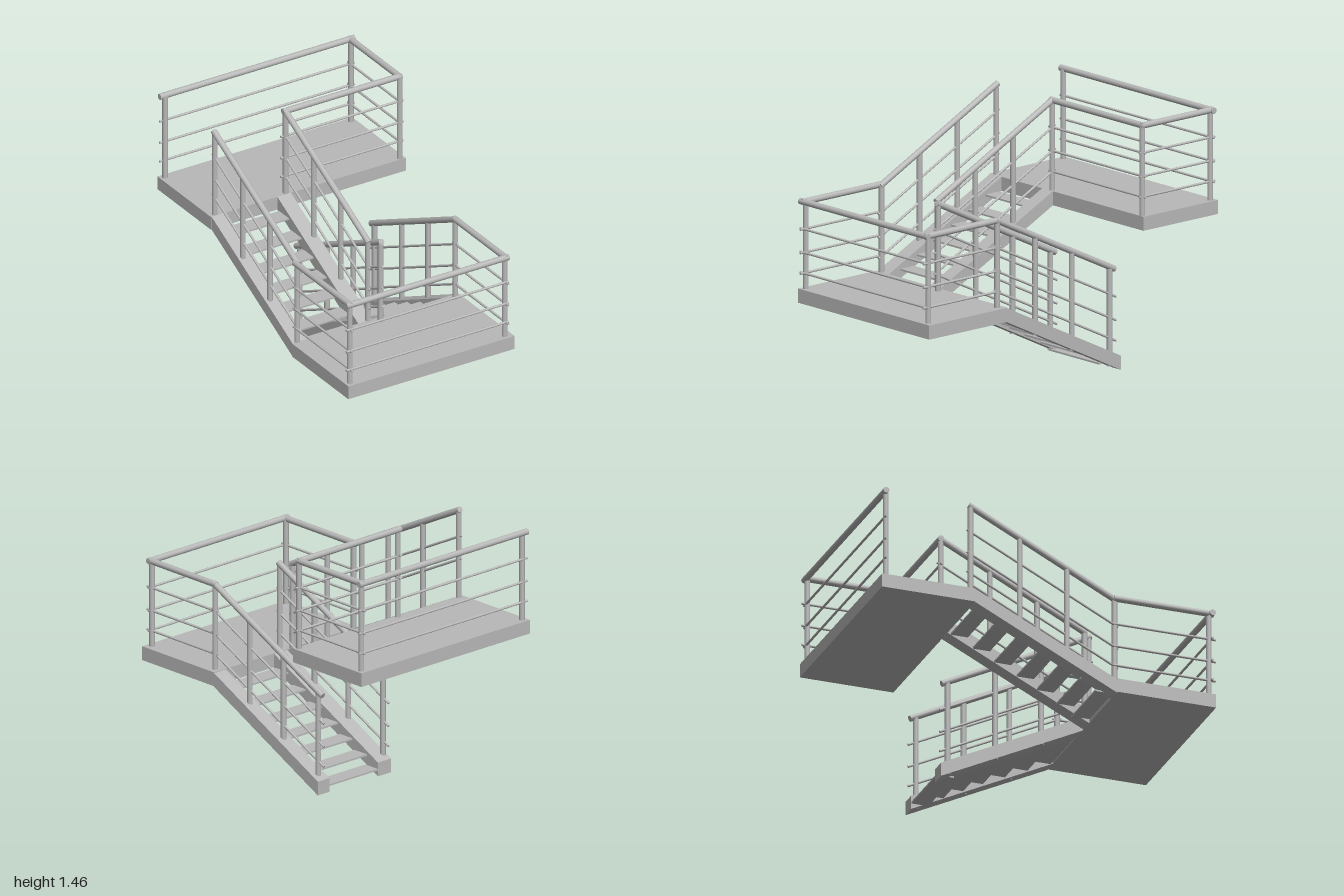
import * as THREE from 'three';

const steel = new THREE.MeshStandardMaterial({ color: 0xb8b8b8 });
steel.name = 'grey steel';

const HANDRAIL = 0.018, POST = 0.016, BAR = 0.007;
const BAR_DROPS = [0.157, 0.293, 0.412]; // bars below the handrail
const ZF = 0.41, ZB = -0.44;             // front and back ends of both flights

export function createModel() {
  const model = new THREE.Group();
  model.name = 'staircase';

  const add = (geometry, name, parent = model) => {
    const mesh = new THREE.Mesh(geometry, steel);
    mesh.name = name;
    parent.add(mesh);
    return mesh;
  };

  const box = (x0, x1, y0, y1, z0, z1, name, parent) =>
    add(new THREE.BoxGeometry(x1 - x0, y1 - y0, z1 - z0), name, parent)
      .position.set((x0 + x1) / 2, (y0 + y1) / 2, (z0 + z1) / 2);

  // Round bar between two points, optionally lengthened at both ends
  const rod = (a, b, r, name, parent, extra = 0) => {
    const p = new THREE.Vector3(...a), q = new THREE.Vector3(...b);
    const dir = q.clone().sub(p);
    const mesh = add(new THREE.CylinderGeometry(r, r, dir.length() + 2 * extra, 14), name, parent);
    mesh.position.copy(p).add(q).multiplyScalar(0.5);
    mesh.quaternion.setFromUnitVectors(new THREE.Vector3(0, 1, 0), dir.normalize());
  };

  // Handrail with three thin bars below it, level or sloping
  const rails = (a, b, name, barExtra = 0.025) => {
    const group = new THREE.Group();
    group.name = name;
    model.add(group);
    rod(a, b, HANDRAIL, 'handrail', group, 0.012);
    for (const d of BAR_DROPS) {
      rod([a[0], a[1] - d, a[2]], [b[0], b[1] - d, b[2]], BAR, 'thinBar', group, barExtra);
    }
    return group;
  };
  const post = (x, z, y0, y1, parent) => rod([x, y0, z], [x, y1, z], POST, 'post', parent);

  // Landings
  box(-0.64, 0.46, 0.425, 0.507, ZF, 1, 'lowerLanding');
  box(-0.64, 0.65, 0.84, 0.921, -1, ZB, 'upperLanding');

  // Flight: two sheared stringers and a run of thin treads
  const flight = (name, strips, yFront, yBack, treadX, treads) => {
    const group = new THREE.Group();
    group.name = name;
    model.add(group);
    for (const [x0, x1] of strips) {
      const g = new THREE.BoxGeometry(x1 - x0, 0.082, ZF - ZB);
      const p = g.attributes.position;
      for (let i = 0; i < p.count; i++) {
        p.setY(i, p.getY(i) + (p.getZ(i) > 0 ? yFront : yBack));
      }
      g.computeVertexNormals();
      add(g, 'stringer', group).position.set((x0 + x1) / 2, 0, (ZF + ZB) / 2);
    }
    for (const [z, y] of treads) {
      box(treadX[0], treadX[1], y - 0.005, y + 0.005, z - 0.051, z + 0.051, 'tread', group);
    }
  };
  const run = (zs, y0, rise) => zs.map((z, i) => [z, y0 + rise * i]);
  flight('upperFlight', [[-0.635, -0.54], [-0.2, -0.11]], 0.462, 0.88, [-0.56, -0.18],
    run([0.358, 0.267, 0.145, 0.025, -0.11, -0.238, -0.37], 0.452, 0.0638));
  flight('lowerFlight', [[-0.1, 0], [0.37, 0.46]], 0.462, 0.041, [-0.03, 0.39],
    run([0.345, 0.205, 0.07, -0.062, -0.18, -0.298, -0.388], 0.42, -0.0635));

  // Lower landing railing
  const L = 1.01, U = 1.44;
  const lowerFront = rails([-0.63, L, 0.98], [0.42, L, 0.98], 'lowerFrontRailing', 0.012);
  const lowerLeft = rails([0.415, L, 0.98], [0.415, L, 0.45], 'lowerLeftRailing');
  rails([-0.615, L, 0.98], [-0.615, L, 0.41], 'lowerRightRailing');
  post(-0.61, 0.967, 0.5, L, lowerFront);
  post(0.415, 0.967, 0.5, L, lowerLeft);

  // Upper landing railing
  const upperBack = rails([-0.63, U, -0.975], [0.635, U, -0.975], 'upperBackRailing', 0.012);
  const upperLeft = rails([0.62, U, -0.975], [0.62, U, -0.46], 'upperLeftRailing');
  rails([-0.14, U, -0.46], [0.62, U, -0.46], 'upperFrontRailing');
  post(-0.61, -0.967, 0.91, U, upperBack);
  post(0.62, -0.967, 0.91, U, upperBack);
  post(0.62, -0.457, 0.91, U, upperLeft);

  // Sloping railings beside the flights
  const slopeRailing = (x, name, a, b, postZ, baseAt) => {
    const group = rails([x, a[1], a[0]], [x, b[1], b[0]], name);
    for (const z of postZ) {
      const top = a[1] + (b[1] - a[1]) * (z - a[0]) / (b[0] - a[0]);
      post(x, z, baseAt(z), top, group);
    }
  };
  for (const [x, name] of [[-0.603, 'upperFlightRightRailing'], [-0.135, 'upperFlightLeftRailing']]) {
    slopeRailing(x, name, [0.405, L], [-0.457, U], [0.405, 0.12, -0.163, -0.457],
      z => 0.45 + (ZF - z) * 0.492);
  }
  for (const [x, name] of [[-0.08, 'lowerFlightRightRailing'], [0.415, 'lowerFlightLeftRailing']]) {
    slopeRailing(x, name, [0.45, L], [-0.42, 0.583], [0.45, 0.165, -0.11, -0.395],
      z => Math.min(0.5, 0.42 - (ZF - z) * 0.495 + (z > 0.4 ? 0.08 : 0)));
  }

  return model;
}
